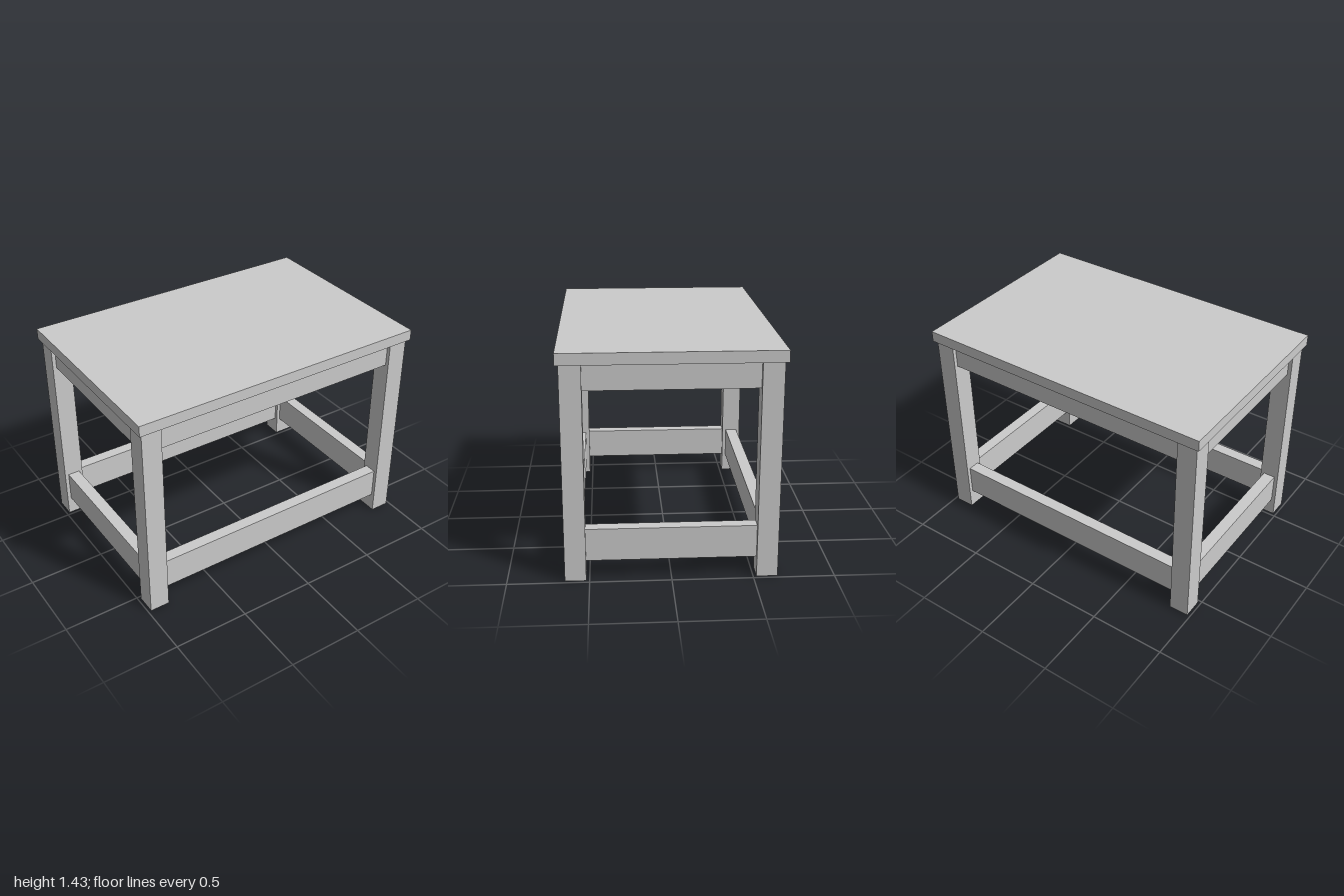
import * as THREE from 'three';

const material = new THREE.MeshStandardMaterial({ color: 0xcccccc, flatShading: true });

// Box given by its size, centre in x and z, and bottom height
function board(name, w, h, d, x, y, z) {
  const mesh = new THREE.Mesh(new THREE.BoxGeometry(w, h, d), material);
  mesh.name = name;
  mesh.position.set(x, y + h / 2, z);
  return mesh;
}

export function createModel() {
  const table = new THREE.Group();
  table.name = 'table';

  const legSize = 0.13, legHeight = 1.355, legX = 0.915, legZ = 0.585;
  const railDepth = 0.08;
  const spanX = 2 * legX - legSize, spanZ = 2 * legZ - legSize;

  table.add(board('tableTop', 2, 0.072, 1.34, 0, legHeight, 0));

  // Square legs at the corners
  for (const sx of [-1, 1]) {
    for (const sz of [-1, 1]) {
      const name = (sz > 0 ? 'front' : 'back') + (sx > 0 ? 'Left' : 'Right') + 'Leg';
      table.add(board(name, legSize, legHeight, legSize, sx * legX, 0, sz * legZ));
    }
  }

  // Aprons under the top and stretchers near the floor, centred on the legs
  const rails = [
    { kind: 'Apron', y: 1.193, h: legHeight - 1.193 },
    { kind: 'Stretcher', y: 0.122, h: 0.206 },
  ];
  for (const { kind, y, h } of rails) {
    for (const s of [-1, 1]) {
      table.add(board((s > 0 ? 'front' : 'back') + kind, spanX, h, railDepth, 0, y, s * legZ));
      table.add(board((s > 0 ? 'left' : 'right') + kind, railDepth, h, spanZ, s * legX, y, 0));
    }
  }
  return table;
}
